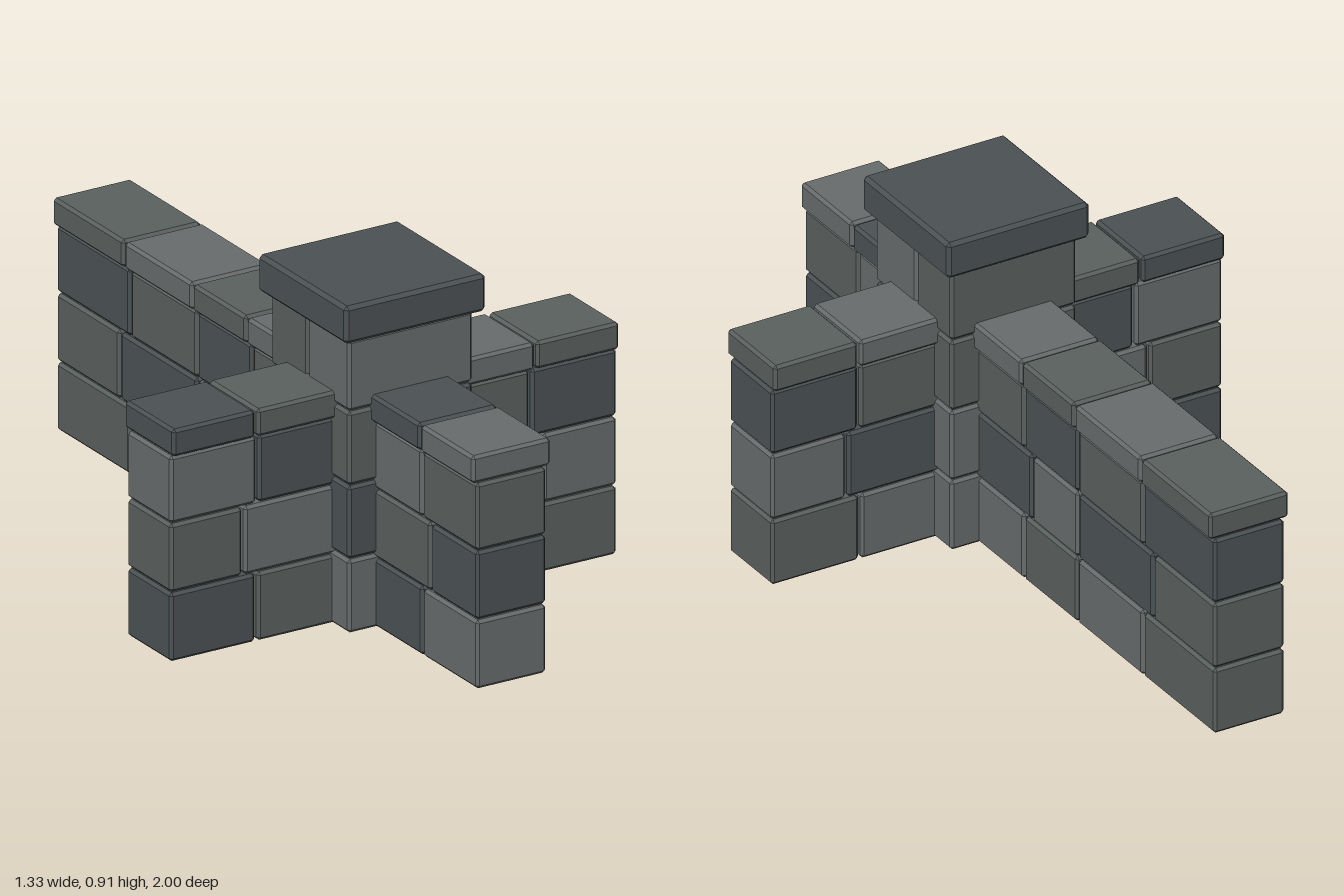
import * as THREE from 'three';
import { ConvexGeometry } from 'three/addons/geometries/ConvexGeometry.js';

const makeStone = (color) => new THREE.MeshStandardMaterial({ color, flatShading: true });
const stone = { d: makeStone(0x4b5154), m: makeStone(0x5a605e), l: makeStone(0x676b6b) };
const PILLAR_Z = 0.335;

// Block with bevelled edges, given by its min and max on each axis
function block(name, tone, [x0, x1], [y0, y1], [z0, z1], bevel = 0.008) {
  const hx = (x1 - x0) / 2, hy = (y1 - y0) / 2, hz = (z1 - z0) / 2;
  const points = [];
  for (const sx of [-1, 1]) for (const sy of [-1, 1]) for (const sz of [-1, 1]) {
    for (let full = 0; full < 3; full++) {
      const inset = (axis) => (axis === full ? 0 : bevel);
      points.push(new THREE.Vector3(
        sx * (hx - inset(0)), sy * (hy - inset(1)), sz * (hz - inset(2))));
    }
  }
  const mesh = new THREE.Mesh(new ConvexGeometry(points), stone[tone]);
  mesh.position.set((x0 + x1) / 2, (y0 + y1) / 2, (z0 + z1) / 2);
  mesh.name = name;
  return mesh;
}

// Three brick courses and a row of coping stones
const courses = [[0, 0.187], [0.19, 0.376], [0.379, 0.562], [0.565, 0.64]];

// Each row: joint positions along the wall, then one tone letter per block
function wall(name, axis, rows) {
  const group = new THREE.Group();
  group.name = name;
  rows.forEach(([joints, tones], row) => {
    const coping = row === 3;
    const half = coping ? 0.117 : 0.104;
    for (let i = 0; i < tones.length; i++) {
      const lo = Math.min(joints[i], joints[i + 1]), hi = Math.max(joints[i], joints[i + 1]);
      const along = [i === 0 || joints[i] !== lo ? lo : lo + 0.003, hi];
      // Leave a small joint between neighbours, keeping the outer ends flush
      along[0] = Math.abs(lo) > 0.66 && (axis === 'x' || lo < -0.99) ? lo : lo + 0.003;
      along[1] = Math.abs(hi) > 0.66 && (axis === 'x' || hi > 0.99) ? hi : hi - 0.003;
      const label = coping ? 'copingStone' : 'wallBrick';
      group.add(axis === 'x'
        ? block(label, tones[i], along, courses[row], [PILLAR_Z - half, PILLAR_Z + half])
        : block(label, tones[i], [-half, half], courses[row], along));
    }
  });
  return group;
}

export function createModel() {
  const model = new THREE.Group();
  model.name = 'stoneWallCrossing';

  // Four wall arms, each running from its free end into the pillar
  model.add(wall('rightWall', 'x', [
    [[-0.665, -0.408, -0.1], 'dm'],
    [[-0.665, -0.447, -0.1], 'ml'],
    [[-0.665, -0.405, -0.1], 'ld'],
    [[-0.665, -0.417, -0.1], 'dm'],
  ]));
  model.add(wall('leftWall', 'x', [
    [[0.665, 0.404, 0.1], 'ml'],
    [[0.665, 0.443, 0.1], 'ld'],
    [[0.665, 0.408, 0.1], 'dm'],
    [[0.665, 0.415, 0.1], 'ml'],
  ]));
  model.add(wall('frontWall', 'z', [
    [[1, 0.74, 0.43], 'ld'],
    [[1, 0.778, 0.43], 'dm'],
    [[1, 0.738, 0.43], 'ml'],
    [[1, 0.748, 0.43], 'ld'],
  ]));
  model.add(wall('backWall', 'z', [
    [[-1, -0.65, -0.33, -0.07, 0.24], 'mlml'],
    [[-1, -0.7, -0.332, -0.108, 0.24], 'mdld'],
    [[-1, -0.65, -0.332, -0.07, 0.24], 'dmdm'],
    [[-1, -0.66, -0.335, -0.078, 0.24], 'mlml'],
  ]));

  // Pillar: three courses of four corner blocks (front right, front left, back right, back left)
  const pillar = new THREE.Group();
  pillar.name = 'pillar';
  const sidesX = [[-0.185, -0.001], [0.001, 0.185]];
  const sidesZ = [[0.336, 0.52], [0.15, 0.334]];
  [[0, 0.2, 'lmml'], [0.203, 0.402, 'ddll'], [0.405, 0.605, 'mdmm']].forEach(([y0, y1, tones]) => {
    for (let i = 0; i < 4; i++) {
      pillar.add(block('pillarBlock', tones[i], sidesX[i % 2], [y0, y1], sidesZ[i >> 1]));
    }
  });

  // Two long blocks on top, then the overhanging cap
  pillar.add(block('pillarTopBlock', 'l', [-0.185, 0.185], [0.608, 0.802], [0.324, 0.52]));
  pillar.add(block('pillarTopBlock', 'm', [-0.185, 0.185], [0.608, 0.802], [0.15, 0.321]));
  pillar.add(block('pillarCap', 'd', [-0.21, 0.21], [0.804, 0.907], [0.125, 0.545], 0.01));
  model.add(pillar);
  return model;
}
